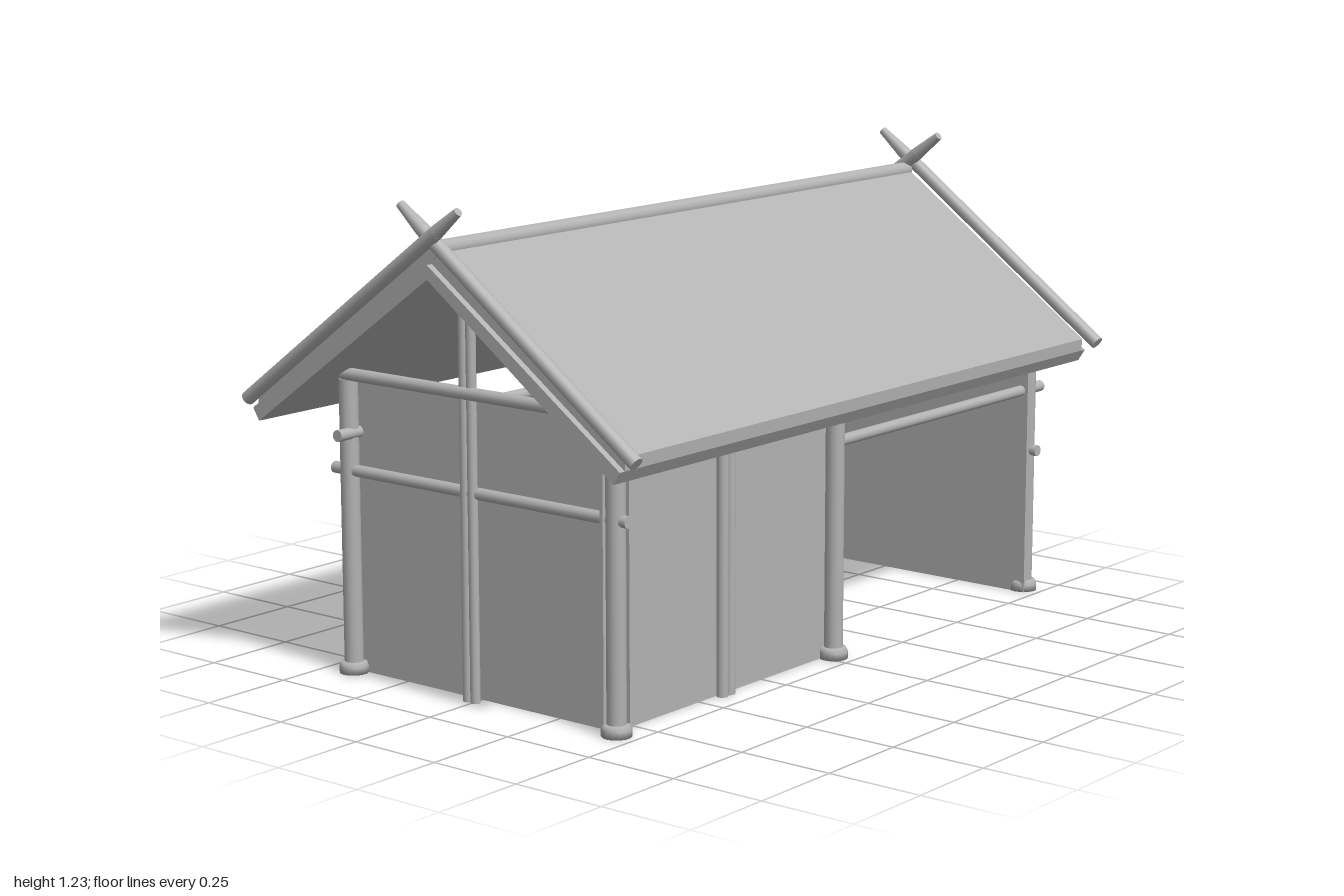
import * as THREE from 'three';

export function createModel() {
  const model = new THREE.Group();
  model.name = 'timberHall';
  const grey = new THREE.MeshStandardMaterial({ color: 0xb2b2b2 });
  grey.name = 'plainGrey';

  const add = (name, geometry) => {
    const mesh = new THREE.Mesh(geometry, grey);
    mesh.name = name;
    model.add(mesh);
    return mesh;
  };
  // Round pole between two points
  const pole = (name, a, b, r0, r1 = r0) => {
    const from = new THREE.Vector3(...a), to = new THREE.Vector3(...b);
    const dir = to.clone().sub(from);
    const mesh = add(name, new THREE.CylinderGeometry(r1, r0, dir.length(), 14));
    mesh.position.copy(from).add(to).multiplyScalar(0.5);
    mesh.quaternion.setFromUnitVectors(new THREE.Vector3(0, 1, 0), dir.normalize());
  };
  const wall = (name, x0, x1, z0, z1, h) => {
    add(name, new THREE.BoxGeometry(x1 - x0, h, z1 - z0))
      .position.set((x0 + x1) / 2, h / 2, (z0 + z1) / 2);
  };

  const left = 0.445, right = -0.415;
  const front = 0.835, middle = -0.022, back = -0.905;

  // Corner and middle posts on stepped feet
  for (const x of [left, right]) {
    for (const z of [front, middle, back]) {
      pole('post', [x, 0, z], [x, 0.75, z], 0.024);
      const foot = add('postFoot', new THREE.LatheGeometry([
        [0, 0], [0.037, 0], [0.037, 0.018], [0.032, 0.03], [0, 0.03],
      ].map(([r, y]) => new THREE.Vector2(r, y)), 14));
      foot.position.set(x, 0, z);
    }
  }

  // End walls, with the opposite half of each long side left open
  wall('frontWall', -0.437, 0.468, 0.804, 0.814, 0.75);
  wall('backWall', -0.437, 0.468, -0.884, -0.874, 0.75);
  wall('leftWall', 0.414, 0.424, -0.044, 0.857, 0.74);
  wall('rightWall', -0.394, -0.384, -0.927, 0, 0.74);

  // Gable framing: paired king posts, tie beam and through rail
  for (const [z, out, railY] of [[front, 1, 0.52], [back, -1, 0.395]]) {
    for (const x of [-0.02, 0.004]) {
      pole('kingPost', [x, 0, z + out * 0.008], [x, 1.07, z + out * 0.008], 0.0125);
    }
    pole('tieBeam', [-0.42, 0.765, z + out * 0.014], [0.43, 0.765, z + out * 0.014], 0.016);
    pole('gableRail', [-0.467, railY, z], [0.484, railY, z], 0.015);
  }

  // Paired studs on the walled half of each side
  for (const dz of [-0.014, 0.014]) {
    pole('leftStud', [left - 0.008, 0, 0.411 + dz], [left - 0.008, 0.74, 0.411 + dz], 0.0145);
    pole('rightStud', [right + 0.008, 0, -0.47 + dz], [right + 0.008, 0.74, -0.47 + dz], 0.0145);
  }

  // Beams across the open halves
  pole('leftOpeningBeam', [left, 0.562, -0.02], [left, 0.562, -0.97], 0.015);
  pole('rightOpeningBeam', [-0.402, 0.615, 0.89], [-0.402, 0.615, -0.06], 0.015);

  // Roof in two layers, each a bent profile run along the length
  const roofLayer = (name, points, half) => {
    const shape = new THREE.Shape(points.map(([x, y]) => new THREE.Vector2(x, y)));
    add(name, new THREE.ExtrudeGeometry(shape, { depth: half * 2, bevelEnabled: false }))
      .position.z = -half;
  };
  roofLayer('roofUnderlayer', [
    [-0.582, 0.645], [-0.005, 1.055], [0.56, 0.645],
    [0.58, 0.676], [-0.005, 1.09], [-0.602, 0.676],
  ], 0.98);
  roofLayer('roofCover', [
    [-0.602, 0.676], [-0.005, 1.09], [0.58, 0.676],
    [0.582, 0.708], [-0.005, 1.13], [-0.602, 0.708],
  ], 0.962);
  pole('ridgePole', [-0.008, 1.122, -0.965], [-0.008, 1.122, 0.965], 0.022);

  // Crossed gable poles with tapered tips
  for (const end of [1, -1]) {
    for (const side of [1, -1]) {
      const z = end * (side === -end ? 0.982 : 0.966);
      const at = (x, y) => [side * x, y, z];
      pole('gablePole', at(0.617, 0.698), at(-0.03, 1.17), 0.018);
      pole('gablePoleTip', at(-0.03, 1.17), at(-0.1, 1.224), 0.018, 0.011);
    }
  }
  return model;
}
